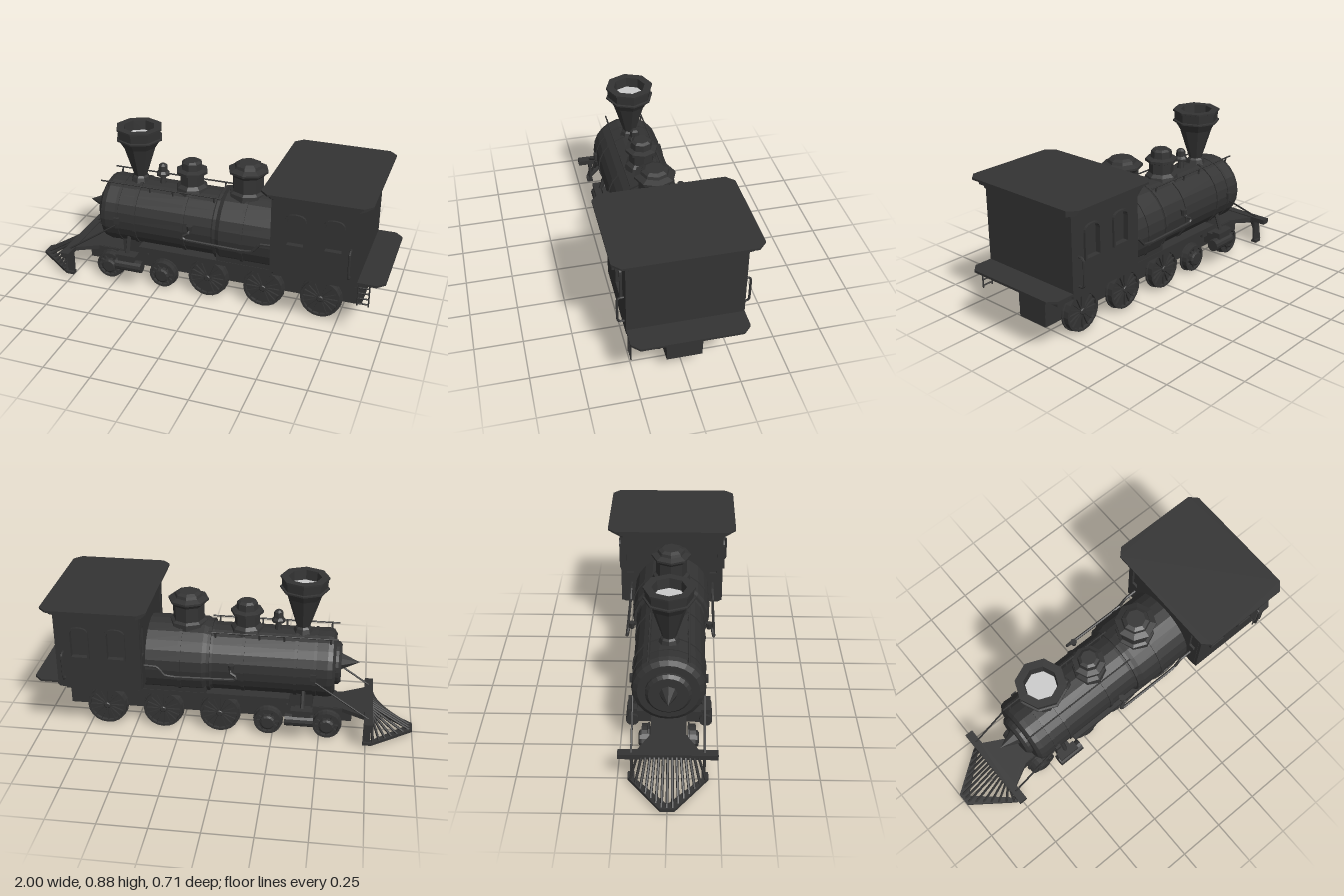
import * as THREE from 'three';

export function createModel() {
  const root = new THREE.Group();
  const dark = new THREE.MeshStandardMaterial({ color: 0x333333, flatShading: true, side: THREE.DoubleSide });
  const pale = new THREE.MeshStandardMaterial({ color: 0xcccccc });
  const V = (x, y, z) => new THREE.Vector3(x, y, z);

  function add(name, geo, x = 0, y = 0, z = 0, parent = root, mat = dark) {
    const m = new THREE.Mesh(geo, mat);
    m.name = name;
    m.position.set(x, y, z);
    parent.add(m);
    return m;
  }
  // box from its limits
  const box = (name, x0, x1, y0, y1, z0, z1) =>
    add(name, new THREE.BoxGeometry(x1 - x0, y1 - y0, z1 - z0), (x0 + x1) / 2, (y0 + y1) / 2, (z0 + z1) / 2);
  const lathe = (pts, sides) => new THREE.LatheGeometry(pts.map(p => new THREE.Vector2(...p)), sides);
  // lathe lying along x; profile is [radius, x]
  const latheX = (name, pts, sides, y, z) => add(name, lathe(pts, sides).rotateZ(-Math.PI / 2), 0, y, z);
  const tube = (name, pts, r, n = 20) =>
    add(name, new THREE.TubeGeometry(new THREE.CatmullRomCurve3(pts, false, 'catmullrom', 0.1), n, r, 6));
  const rod = (name, a, b, r) => add(name, new THREE.TubeGeometry(new THREE.LineCurve3(a, b), 1, r, 6));
  // horizontal plate from an outline in x, z
  function plate(name, outline, y0, y1) {
    const s = new THREE.Shape(outline.map(([x, z]) => new THREE.Vector2(x, -z)));
    const g = new THREE.ExtrudeGeometry(s, { depth: y1 - y0, bevelEnabled: false }).rotateX(-Math.PI / 2);
    return add(name, g, 0, y0, 0);
  }
  const chamfered = (x0, x1, w, c) => [[x0 + c, w], [x1 - c, w], [x1, w - c], [x1, c - w],
    [x1 - c, -w], [x0 + c, -w], [x0, c - w], [x0, w - c]];

  // boiler, wider firebox end and bands
  const by = 0.4;
  latheX('boiler', [[0, -0.6], [0.1, -0.6], [0.115, -0.585], [0.115, -0.57], [0.155, -0.57], [0.178, -0.555],
    [0.185, -0.53], [0.182, -0.47], [0.182, 0.07], [0.208, 0.12], [0.208, 0.43], [0, 0.43]], 24, by, 0);
  latheX('headlightCone', [[0, -0.695], [0.045, -0.6], [0, -0.6]], 8, 0.41, 0);
  for (const [x, r] of [[-0.465, 0.186], [-0.365, 0.188], [-0.09, 0.188], [0.09, 0.2], [0.24, 0.213]])
    latheX('boilerBand', [[r - 0.02, x - 0.008], [r, x - 0.008], [r, x + 0.008], [r - 0.02, x + 0.008]], 24, by, 0);

  // smokestack
  add('smokestack', lathe([[0.055, 0.57], [0.045, 0.6], [0.036, 0.61], [0.088, 0.775], [0.115, 0.818], [0.127, 0.82],
    [0.127, 0.828], [0.117, 0.83], [0.121, 0.875], [0.127, 0.877], [0.127, 0.886], [0.085, 0.886], [0.08, 0.83]], 8), -0.39);
  add('smokestackOpening', new THREE.CylinderGeometry(0.08, 0.08, 0.004, 8), -0.39, 0.832, 0, root, pale);

  // domes and bell
  add('steamDome', lathe([[0.095, 0.55], [0.085, 0.59], [0.066, 0.605], [0.066, 0.66], [0.086, 0.668], [0.086, 0.682],
    [0.058, 0.69], [0.055, 0.725], [0.04, 0.735], [0, 0.735]], 8), -0.095);
  add('sandDome', lathe([[0.105, 0.57], [0.1, 0.61], [0.084, 0.62], [0.084, 0.7], [0.095, 0.715], [0.107, 0.722],
    [0.107, 0.733], [0.075, 0.745], [0.07, 0.76], [0.05, 0.77], [0, 0.77]], 8), 0.215);
  add('bell', lathe([[0, 0.625], [0.036, 0.625], [0.036, 0.637], [0.026, 0.65], [0.024, 0.68], [0.012, 0.69], [0, 0.69]], 8), -0.26);
  add('bellStand', new THREE.CylinderGeometry(0.012, 0.022, 0.07, 8), -0.26, 0.598);

  // cab: solid core, side walls with arched windows, front wall windows
  box('cabCore', 0.43, 0.865, 0.33, 0.735, -0.272, 0.272);
  function arch(x0, x1, y0, y1, C) {
    const p = new C(), r = (x1 - x0) / 2;
    p.moveTo(x0, y0);
    p.lineTo(x1, y0);
    p.lineTo(x1, y1 - r * 0.7);
    p.quadraticCurveTo(x1, y1, x0 + r, y1);
    p.quadraticCurveTo(x0, y1, x0, y1 - r * 0.7);
    p.closePath();
    return p;
  }
  function wall(name, u0, u1, windows, depth) {
    const s = new THREE.Shape([[u0, 0.32], [u1, 0.32], [u1, 0.735], [u0, 0.735]].map(p => new THREE.Vector2(...p)));
    for (const w of windows) s.holes.push(arch(...w, THREE.Path));
    return add(name, new THREE.ExtrudeGeometry(s, { depth, bevelEnabled: false, curveSegments: 5 }));
  }
  const sideWindows = [[0.505, 0.59, 0.497, 0.655], [0.695, 0.78, 0.497, 0.655]];
  for (const s of [1, -1]) {
    wall('cabSideWall', 0.42, 0.865, sideWindows, 0.02).position.z = s > 0 ? 0.268 : -0.288;
    for (const [a, b, c, d] of sideWindows) {
      const f = arch(a - 0.01, b + 0.01, c - 0.008, d + 0.01, THREE.Shape);
      f.holes.push(arch(a, b, c, d, THREE.Path));
      add('windowFrame', new THREE.ExtrudeGeometry(f, { depth: 0.014, bevelEnabled: false, curveSegments: 5 }),
        0, 0, s > 0 ? 0.287 : -0.301);
    }
    tube('grabHandle', [V(0.825, 0.52, s * 0.285), V(0.825, 0.52, s * 0.31), V(0.825, 0.505, s * 0.321), V(0.825, 0.385, s * 0.321),
      V(0.825, 0.37, s * 0.31), V(0.825, 0.37, s * 0.285)], 0.006);
  }
  const frontWall = wall('cabFrontWall', -0.272, 0.272, [[-0.255, -0.215, 0.5, 0.66], [0.215, 0.255, 0.5, 0.66]], 0.015);
  frontWall.rotation.y = Math.PI / 2;
  frontWall.position.x = 0.417;

  // stepped roof, floor and rear platform
  plate('roofTrim', chamfered(0.405, 0.885, 0.305, 0.03), 0.73, 0.748);
  plate('roofUnderlay', chamfered(0.39, 0.9, 0.328, 0.035), 0.748, 0.77);
  plate('roof', chamfered(0.375, 0.92, 0.355, 0.04), 0.77, 0.78);
  plate('cabFloor', chamfered(0.42, 0.875, 0.286, 0.02), 0.312, 0.335);
  plate('rearPlatform', chamfered(0.8, 1, 0.288, 0.04), 0.333, 0.345);

  // ladder on the left of the platform
  for (const x of [0.872, 0.928]) rod('ladderRail', V(x, 0.212, 0.28), V(x, 0.34, 0.28), 0.004);
  for (let i = 0; i < 4; i++) rod('ladderRung', V(0.872, 0.225 + i * 0.03, 0.28), V(0.928, 0.225 + i * 0.03, 0.28), 0.004);

  // frame and firebox
  box('frame', -0.67, 0.865, 0.097, 0.17, -0.09, 0.09);
  box('frameUpper', -0.32, 0.865, 0.165, 0.32, -0.092, 0.092);
  box('firebox', 0.1, 0.86, 0.235, 0.32, -0.175, 0.175);
  box('saddle', -0.46, -0.33, 0.165, 0.26, -0.11, 0.11);

  // driving wheel with spokes; outer side faces +z
  function wheel(r, spokes, hub) {
    const g = new THREE.Group();
    const turned = (n, pts, k) => add(n, lathe(pts, k).rotateX(Math.PI / 2), 0, 0, 0, g);
    turned('tyre', [[0, 0], [r + 0.003, 0], [r + 0.003, 0.008], [r - 0.004, 0.01], [r - 0.004, 0.04], [r - 0.016, 0.04],
      [r - 0.018, 0.026], [0, 0.026]], 20);
    turned('hub', [[hub, 0.02], [hub, hub > 0.03 ? 0.05 : 0.04], [hub * 0.75, hub > 0.03 ? 0.056 : 0.044], [0, hub > 0.03 ? 0.056 : 0.044]], 12);
    for (let i = 0; i < spokes; i++) {
      const a = i / spokes * Math.PI * 2, m = r * 0.5;
      add('spoke', new THREE.BoxGeometry(r * 0.8, 0.007, 0.012), Math.cos(a) * m, Math.sin(a) * m, 0.031, g).rotation.z = a;
    }
    return g;
  }
  const axles = [[0.035, 0.115, 0.11, 16, 0.018], [0.345, 0.115, 0.11, 16, 0.018], [0.655, 0.115, 0.11, 16, 0.018],
    [-0.54, 0.085, 0.078, 12, 0.042], [-0.225, 0.085, 0.078, 12, 0.042]];
  for (const [x, y, r, n, hub] of axles) {
    for (const s of [1, -1]) {
      const w = wheel(r, n, hub);
      w.name = r > 0.1 ? 'drivingWheel' : 'leadingWheel';
      w.position.set(x, y, s * 0.096);
      if (s < 0) w.rotation.y = Math.PI;
      root.add(w);
    }
    rod('axle', V(x, y, -0.1), V(x, y, 0.1), 0.014);
  }

  for (const s of [1, -1]) {
    // cylinders, running boards, pipes and rails on each side
    const z = s * 0.187;
    latheX('cylinder', [[0, -0.47], [0.033, -0.47], [0.033, -0.32], [0, -0.32]], 12, 0.143, z);
    box('cylinderChest', -0.455, -0.36, 0.165, 0.195, z - 0.018, z + 0.018);
    box('cylinderCap', -0.465, -0.35, 0.193, 0.21, z - 0.024, z + 0.024);
    box('cylinderBracket', -0.45, -0.37, 0.12, 0.185, Math.min(s * 0.08, z), Math.max(s * 0.08, z));
    rod('steamPipe', V(-0.41, 0.2, s * 0.175), V(-0.41, 0.3, s * 0.14), 0.012);
    box('runningBoard', -0.34, 0.45, 0.237, 0.262, s > 0 ? 0.07 : -0.178, s > 0 ? 0.178 : -0.07);
    tube('sidePipe', [V(-0.04, 0.45, s * 0.19), V(-0.035, 0.42, s * 0.222), V(-0.07, 0.4, s * 0.228), V(-0.05, 0.385, s * 0.232),
      V(0.25, 0.378, s * 0.232), V(0.31, 0.385, s * 0.232), V(0.35, 0.43, s * 0.23), V(0.43, 0.435, s * 0.23)], 0.008, 40);
    add('valve', new THREE.CylinderGeometry(0.018, 0.012, 0.035, 8), -0.037, 0.44, s * 0.205);
    box('boilerStep', -0.475, -0.445, 0.385, 0.42, s > 0 ? 0.17 : -0.195, s > 0 ? 0.195 : -0.17);
    rod('handrail', V(-0.58, 0.585, s * 0.1), V(0.1, 0.585, s * 0.1), 0.004);
    for (const x of [-0.54, -0.3, -0.17, 0.06]) rod('handrailPost', V(x, 0.54, s * 0.09), V(x, 0.587, s * 0.1), 0.005);
    rod('frontBrace', V(-0.76, 0.172, s * 0.178), V(-0.47, 0.37, s * 0.178), 0.005);
    box('pilotPost', -0.775, -0.735, 0.03, 0.16, s * 0.178 - 0.006, s * 0.178 + 0.006);
    // one side of the pilot's V-shaped foot
    plate('pilotFoot', [[-1, 0], [-1, s * 0.035], [-0.78, s * 0.198], [-0.735, s * 0.198], [-0.735, s * 0.165], [-0.78, s * 0.165], [-0.965, 0]], 0.02, 0.035);
  }

  // pilot deck, beam and slats
  plate('pilotDeck', [[-0.78, 0.18], [-0.73, 0.15], [-0.61, 0.085], [-0.45, 0.085], [-0.45, -0.085], [-0.61, -0.085], [-0.73, -0.15], [-0.78, -0.18]], 0.15, 0.172);
  box('pilotBeam', -0.78, -0.735, 0.15, 0.177, -0.245, 0.245);
  const slats = 15;
  for (let i = 0; i < slats; i++) {
    const t = i / (slats - 1) * 2 - 1, a = Math.abs(t);
    rod('pilotSlat', V(-0.775, 0.16, t * 0.15), V(-0.985 + Math.max(0, a - 0.15) * 0.23, 0.03, t * 0.185), 0.007);
  }
  return root;
}
